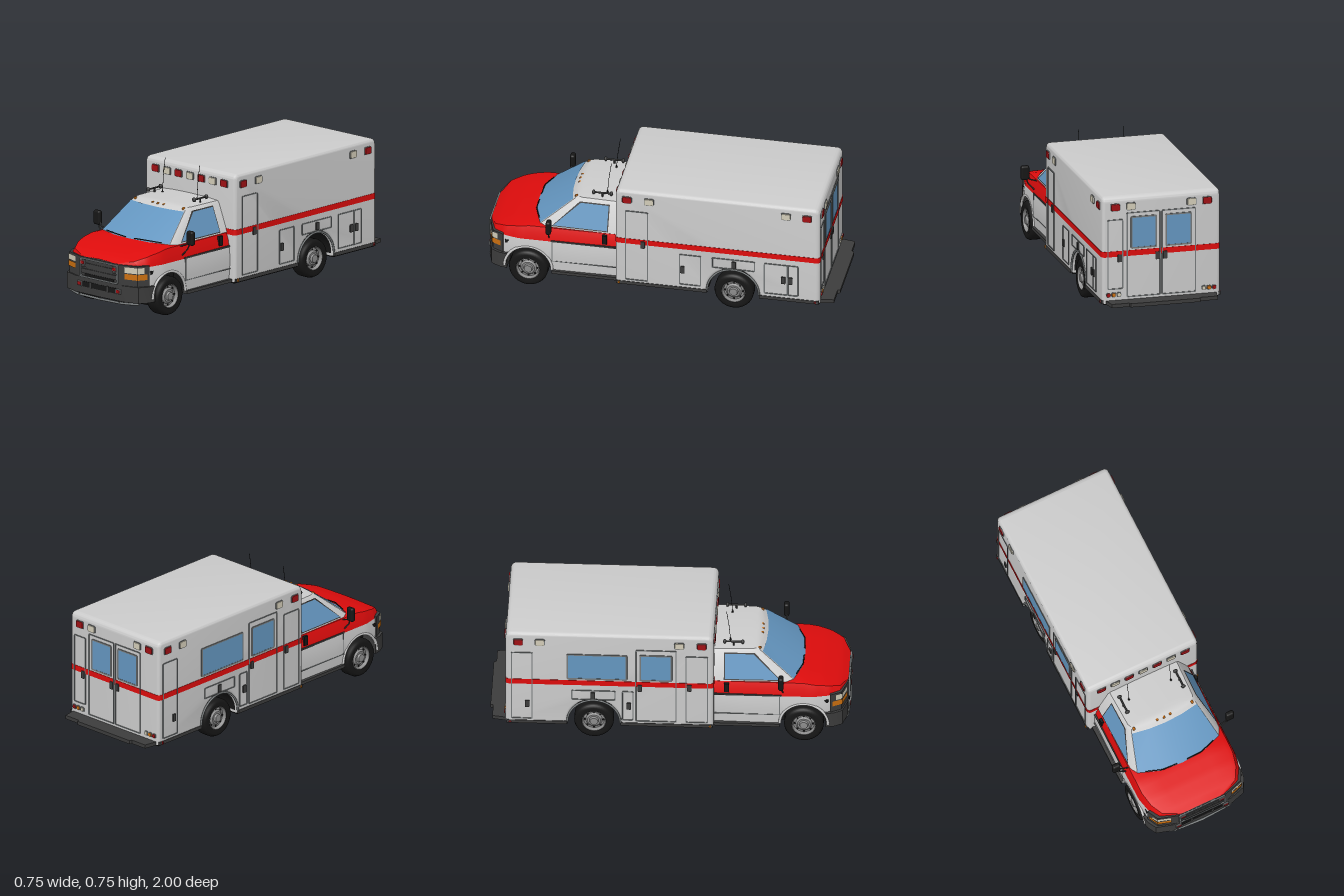
import * as THREE from 'three';
import { toCreasedNormals } from 'three/addons/utils/BufferGeometryUtils.js';
import { RoundedBoxGeometry } from 'three/addons/geometries/RoundedBoxGeometry.js';

const mat = (color) => new THREE.MeshStandardMaterial({ color, side: THREE.DoubleSide });
const WHITE = mat(0xcccccc), RED = mat(0xdd0c0c), DARK = mat(0x3c3c3c), BLACK = mat(0x161616), GLASS = mat(0x6496c0),
  SEAM = mat(0x75797a), LAMP = mat(0xa01014), CREAM = mat(0xd2ccb8), ORANGE = mat(0xcc7010), RIM = mat(0x8c8c8c);

export function createModel() {
  const model = new THREE.Group();
  const add = (name, geo, m, x = 0, y = 0, z = 0) => {
    const mesh = new THREE.Mesh(geo, m);
    mesh.name = name;
    mesh.position.set(x, y, z);
    model.add(mesh);
    return mesh;
  };
  const box = (name, m, w, h, d, x, y, z) => add(name, new THREE.BoxGeometry(w, h, d), m, x, y, z);
  const rod = (name, m, r, pts) => add(name, new THREE.TubeGeometry(
    new THREE.CatmullRomCurve3(pts.map((p) => new THREE.Vector3(...p)), false, 'catmullrom', 0.1), 16, r, 8), m);
  // Surface through rows of points
  const loft = (rows, crease = 0.5) => {
    const n = rows[0].length, idx = [], g = new THREE.BufferGeometry();
    g.setAttribute('position', new THREE.Float32BufferAttribute(rows.flat(2), 3));
    for (let i = 0; i < rows.length - 1; i++) for (let j = 0; j < n - 1; j++) {
      const a = i * n + j, b = a + n;
      idx.push(a, a + 1, b, a + 1, b + 1, b);
    }
    g.setIndex(idx);
    return toCreasedNormals(g, crease);
  };
  // Half a row, from the side to the centre line, completed on the other side
  const mirror = (half) => [...half, ...half.slice(0, -1).reverse().map(([x, ...r]) => [-x, ...r])];
  const lerp = (a, b, t) => a.map((v, i) => v + (b[i] - v) * t);
  const table = (t, v) => {
    let i = 0;
    while (i < t.length - 2 && v > t[i + 1][0]) i++;
    return THREE.MathUtils.mapLinear(v, t[i][0], t[i + 1][0], t[i][1], t[i + 1][1]);
  };
  const roundRect = (w, h, r, s = new THREE.Shape()) => {
    const x = w / 2, y = h / 2, q = Math.PI / 2;
    s.absarc(x - r, y - r, r, 0, q);
    s.absarc(r - x, y - r, r, q, 2 * q);
    s.absarc(r - x, r - y, r, 2 * q, 3 * q);
    s.absarc(x - r, r - y, r, 3 * q, 4 * q);
    return s.closePath();
  };
  const extrude = (s, depth, o = {}) => new THREE.ExtrudeGeometry(s, { depth, bevelEnabled: false, curveSegments: 6, ...o });
  // Solid standing on a plan outline of [x, z] points
  const planSolid = (half, y0, y1) => toCreasedNormals(extrude(new THREE.Shape(
    mirror(half).map(([x, z]) => new THREE.Vector2(x, -z))), y1 - y0).rotateX(-Math.PI / 2).translate(0, y0, 0), 0.5);
  // Fix a flat piece to one face of the rear body; u runs along x or z
  const fix = (name, geo, m, face, u, y) => {
    const mesh = add(name, geo, m);
    if (face === 'front') mesh.position.set(u, y, 0.245);
    if (face === 'back') mesh.position.set(u, y, -0.91);
    if (face === 'left') mesh.position.set(0.34, y, u);
    if (face === 'right') mesh.position.set(-0.34, y, u);
    mesh.rotation.y = { front: 0, back: Math.PI, left: Math.PI / 2, right: -Math.PI / 2 }[face];
  };
  const frame = (name, face, u0, u1, y0, y1, t = 0.006, m = SEAM) => {
    const w = u1 - u0, h = y1 - y0, s = roundRect(w, h, 0.008);
    s.holes.push(roundRect(w - 2 * t, h - 2 * t, 0.005, new THREE.Path()));
    fix(name, extrude(s, 0.004), m, face, (u0 + u1) / 2, (y0 + y1) / 2);
  };
  const pane = (face, u0, u1, y0, y1) => {
    fix('window', extrude(roundRect(u1 - u0, y1 - y0, 0.015), 0.003), GLASS, face, (u0 + u1) / 2, (y0 + y1) / 2);
    frame('windowFrame', face, u0 - 0.006, u1 + 0.006, y0 - 0.006, y1 + 0.006, 0.009);
  };
  const lamp = (face, u, m, y = 0.655, w = 0.056, h = 0.044) => {
    fix('lampBezel', extrude(roundRect(w, h, 0.009), 0.004), SEAM, face, u, y);
    fix('lamp', extrude(roundRect(w - 0.012, h - 0.012, 0.006), 0.006,
      { bevelEnabled: true, bevelSize: 0.003, bevelThickness: 0.003, bevelSegments: 2 }), m, face, u, y);
  };
  const handle = (face, u, y) => fix('handle', extrude(roundRect(0.024, 0.044, 0.004), 0.007), DARK, face, u, y);

  // Rear body with wheel notches
  const s = new THREE.Shape();
  s.moveTo(-0.225, 0.12);
  s.lineTo(0.255, 0.12);
  s.absarc(0.42, 0.12, 0.165, Math.PI, 0, true);
  s.lineTo(0.89, 0.12);
  s.lineTo(0.89, 0.68);
  s.quadraticCurveTo(0.89, 0.695, 0.875, 0.695);
  s.lineTo(-0.21, 0.695);
  s.quadraticCurveTo(-0.225, 0.695, -0.225, 0.68);
  add('rearBody', toCreasedNormals(extrude(s, 0.64, { bevelEnabled: true, bevelSize: 0.02, bevelThickness: 0.02,
    bevelSegments: 4, curveSegments: 14 }).translate(0, 0, -0.32).rotateY(Math.PI / 2), 0.6), WHITE);
  add('stripe', extrude(roundRect(0.684, 1.159, 0.021), 0.032).rotateX(-Math.PI / 2), RED, 0, 0.369, -0.3325);
  add('wheelWell', new THREE.CylinderGeometry(0.143, 0.143, 0.64, 28, 1, true, 0, Math.PI).rotateZ(Math.PI / 2), BLACK, 0, 0.115, -0.42);
  for (const [z0, z1] of [[0.24, -0.272], [-0.568, -0.905]]) {
    box('floor', BLACK, 0.66, 0.02, z0 - z1, 0, 0.103, (z0 + z1) / 2);
    for (const x of [-0.335, 0.335]) box('skirtRail', DARK, 0.016, 0.02, z0 - z1, x, 0.11, (z0 + z1) / 2);
  }
  add('rearStep', planSolid([[0.32, -0.9], [0.305, -0.985], [0.205, -0.985], [0.2, -1], [0, -1]].map(([x, z]) => [x, z]), 0.097, 0.118), DARK);

  // Warning lamps
  for (let i = -3; i <= 3; i++) lamp('front', i * 0.086, i % 2 ? LAMP : CREAM);
  for (const f of ['left', 'right']) [[0.18, LAMP], [0.055, CREAM], [-0.72, CREAM], [-0.84, LAMP]].forEach(([u, m]) => lamp(f, u, m));
  for (const d of [-1, 1]) {
    lamp('back', d * 0.265, LAMP);
    lamp('back', d * 0.175, CREAM);
    [[0.305, LAMP], [0.275, ORANGE], [0.245, CREAM]].forEach(([u, m]) => lamp('back', d * u, m, 0.15, 0.027, 0.027));
    lamp(d > 0 ? 'left' : 'right', 0.225, ORANGE, 0.111, 0.018, 0.014);
    lamp(d > 0 ? 'left' : 'right', -0.885, LAMP, 0.111, 0.018, 0.014);
  }

  // Lockers, doors and windows
  const lockers = {
    left: [[0.06, 0.19, 0.13, 0.585], [-0.24, -0.115, 0.135, 0.335], [-0.545, -0.3, 0.268, 0.335],
      [-0.73, -0.595, 0.135, 0.335], [-0.79, -0.727, 0.135, 0.335]],
    right: [[0.09, 0.215, 0.13, 0.585], [-0.19, 0.04, 0.13, 0.62], [-0.545, -0.3, 0.268, 0.335],
      [-0.265, -0.2, 0.135, 0.335], [-0.88, -0.76, 0.13, 0.585]],
    back: [[0.003, 0.2, 0.13, 0.62], [-0.2, -0.003, 0.13, 0.62], [0.22, 0.31, 0.18, 0.585]],
  };
  for (const f in lockers) lockers[f].forEach((r) => frame('panelSeam', f, ...r));
  [[0.09, 0.37], [-0.135, 0.235], [-0.425, 0.3], [-0.705, 0.235], [-0.745, 0.235]].forEach((p) => handle('left', ...p));
  [[0.11, 0.37], [-0.165, 0.36], [-0.425, 0.3], [-0.225, 0.235], [-0.79, 0.235]].forEach((p) => handle('right', ...p));
  [[0.022, 0.36], [-0.022, 0.36], [0.24, 0.36]].forEach((p) => handle('back', ...p));
  pane('right', -0.565, -0.24, 0.415, 0.575);
  pane('right', -0.16, 0.01, 0.415, 0.58);
  for (const d of [-1, 1]) pane('back', d * 0.1 - 0.07, d * 0.1 + 0.07, 0.415, 0.59);

  // Cab body: sections along z, with arches cut over the front wheels
  const AX = 0.745, R = 0.134;
  const width = (z) => table([[0.24, 0.3], [0.5, 0.305], [0.8, 0.305], [0.88, 0.287], [0.945, 0.25], [0.985, 0.15]], z);
  const hood = (z) => table([[0.24, 0.385], [0.74, 0.386], [0.85, 0.365], [0.94, 0.338], [0.985, 0.312]], z);
  const bottom = (z) => (z > AX + R ? 0.17 : 0.115 + Math.sqrt(Math.max(0, R * R - (z - AX) ** 2)));
  const stations = [0.24, 0.4, 0.55];
  for (let k = 0; k <= 14; k++) stations.push(AX - R * Math.cos((k * Math.PI) / 14));
  stations.push(0.9, 0.925, 0.945, 0.965, 0.985);
  for (const d of [-1, 1]) add('cabSide', loft(stations.map((z) => {
    const w = width(z), b = bottom(z);
    return [[d * (w - 0.006), b, z], [d * w, Math.max(b + 0.004, 0.2), z], [d * w, 0.256, z], [d * (w - 0.006), 0.302, z]];
  })), WHITE);
  add('hood', loft(stations.map((z) => {
    const w = width(z), h = hood(z);
    return mirror([[w - 0.005, 0.3, z], [w - 0.013, 0.3 + (h - 0.3) * 0.5, z], [w - 0.025, 0.3 + (h - 0.3) * 0.9, z],
      [w - 0.05, h - 0.002, z], [w * 0.5, h, z], [0, h + 0.002, z]]);
  }), 0.6), RED);

  // Cab glasshouse and roof
  const base = [[0.28, 0.38, 0.24], [0.275, 0.38, 0.64], [0.253, 0.38, 0.69], [0.13, 0.38, 0.735], [0, 0.38, 0.745]];
  const top = [[0.218, 0.538, 0.24], [0.21, 0.538, 0.47], [0.198, 0.538, 0.5], [0.1, 0.538, 0.515], [0, 0.538, 0.52]];
  const roofRow = (k, y, f) => top.map(([x, , z]) => [x * k, y, z - f * (z - 0.24)]);
  add('cabShell', loft([base, top, roofRow(0.95, 0.549, 0.05), roofRow(0.6, 0.555, 0.12), roofRow(0, 0.557, 0.15)].map(mirror)), WHITE);
  const shield = (t) => mirror(base.slice(2).map((p, i) => lerp(p, top[i + 2], t))).map(([x, y, z]) => [x, y + 0.003, z + 0.003]);
  add('windscreen', loft([shield(0.03), shield(0.95)]), GLASS);
  const sidePoint = (d, y, z, o) => {
    const t = (y - 0.38) / 0.158;
    return [d * (0.28 - 0.0625 * t - 0.011 * (z - 0.24) + o), y, z];
  };
  for (const d of [-1, 1]) {
    const glass = (o, g) => loft([[sidePoint(d, 0.393 - g, 0.305 - g, o), sidePoint(d, 0.393 - g, 0.61 + 1.6 * g, o)],
      [sidePoint(d, 0.527 + g, 0.305 - g, o), sidePoint(d, 0.527 + g, 0.463 + g, o)]]);
    add('sideWindowSeal', glass(0.003, 0.006), DARK);
    add('sideWindow', glass(0.005, 0), GLASS);
    // Door seams, moulding, handle, running board
    box('beltMoulding', DARK, 0.012, 0.009, 0.38, d * 0.297, 0.303, 0.43);
    box('doorSeam', SEAM, 0.006, 0.004, 0.37, d * 0.302, 0.175, 0.43);
    box('doorSeam', SEAM, 0.006, 0.13, 0.004, d * 0.303, 0.24, 0.61);
    box('doorHandle', BLACK, 0.016, 0.055, 0.026, d * 0.292, 0.345, 0.315);
    box('runningBoard', DARK, 0.05, 0.018, 0.37, d * 0.29, 0.108, 0.425);
    add('archTrim', new THREE.TorusGeometry(R, 0.008, 8, 24, Math.PI).rotateY(Math.PI / 2), WHITE, d * 0.301, 0.117, AX);
    add('rearArchTrim', new THREE.TorusGeometry(0.147, 0.006, 8, 28, Math.PI).rotateY(Math.PI / 2), SEAM, d * 0.337, 0.117, -0.42);
    // Mirrors
    add('mirror', new RoundedBoxGeometry(0.048, 0.082, 0.03, 3, 0.012), BLACK, d * 0.351, 0.427, 0.62);
    rod('mirrorArm', DARK, 0.004, [[d * 0.28, 0.308, 0.63], [d * 0.33, 0.36, 0.625], [d * 0.346, 0.4, 0.62]]);
    rod('mirrorArm', DARK, 0.004, [[d * 0.275, 0.37, 0.63], [d * 0.32, 0.385, 0.625], [d * 0.335, 0.41, 0.62]]);
    // Antennas and roof horns
    add('antennaBase', new THREE.ConeGeometry(0.007, 0.022, 10), BLACK, d * 0.13, 0.563, 0.33);
    rod('antenna', BLACK, 0.0015, [[d * 0.13, 0.56, 0.33], [d * 0.13, 0.65, 0.322], [d * 0.13, 0.747, 0.308]]);
    rod('hornBar', DARK, 0.005, [[d * 0.173, 0.575, 0.3], [d * 0.173, 0.575, 0.4]]);
    rod('hornPost', DARK, 0.005, [[d * 0.173, 0.54, 0.35], [d * 0.173, 0.575, 0.35]]);
    for (const z of [0.3, 0.4]) add('horn', new THREE.SphereGeometry(0.013, 14, 10).scale(1, 1, 0.7), DARK, d * 0.173, 0.575, z);
    // Headlights and indicators
    const ribbon = (pts, y0, y1) => loft([y0, y1].map((y) => pts.map(([x, z]) => [d * x, y, z])));
    add('headlight', ribbon([[0.279, 0.922], [0.26, 0.957], [0.185, 0.981]], 0.267, 0.3), CREAM);
    add('indicator', ribbon([[0.287, 0.905], [0.26, 0.957], [0.185, 0.981]], 0.23, 0.262), ORANGE);
    for (const [x, y, z] of [[0.12, 0.28, 0.994], [0.145, 0.155, 0.99]]) {
      add('flasherBezel', new RoundedBoxGeometry(0.036, 0.028, 0.01, 2, 0.004), SEAM, d * x, y, z);
      add('flasher', new RoundedBoxGeometry(0.028, 0.02, 0.012, 2, 0.004), LAMP, d * x, y, z + 0.001);
    }
    rod('wiper', BLACK, 0.003, [[d * 0.12 - 0.09, 0.393, 0.735 - (d > 0 ? 0 : 0.035)], [d * 0.12, 0.397, 0.733], [d * 0.12 + 0.09, 0.391, 0.735 - (d > 0 ? 0.035 : 0)]]);
    rod('barSupport', DARK, 0.006, [[d * 0.15, 0.115, 0.93], [d * 0.15, 0.09, 0.99]]);
  }
  for (const x of [-0.18, -0.04, 0, 0.04, 0.18]) add('roofMarker', new RoundedBoxGeometry(0.014, 0.014, 0.018, 2, 0.005), ORANGE, x, 0.544, 0.505 - Math.abs(x) * 0.06);

  // Nose, grille and bumper
  add('noseSurround', planSolid([[0.29, 0.89], [0.257, 0.953], [0.15, 0.987], [0, 0.99]], 0.185, 0.309), DARK);
  const grille = roundRect(0.285, 0.112, 0.012);
  grille.holes.push(roundRect(0.268, 0.095, 0.008, new THREE.Path()));
  add('grilleFrame', extrude(grille, 0.012), SEAM, 0, 0.25, 0.984);
  for (const y of [0.232, 0.266]) box('grilleBar', DARK, 0.265, 0.024, 0.008, 0, y, 0.99);
  box('grilleIntake', BLACK, 0.22, 0.02, 0.004, 0, 0.208, 0.99);
  add('bumper', planSolid([[0.306, 0.865], [0.297, 0.91], [0.27, 0.958], [0.18, 0.985], [0, 0.99]], 0.1, 0.192), DARK);
  box('bumperInset', BLACK, 0.25, 0.03, 0.006, 0, 0.155, 0.988);
  for (const x of [-0.065, 0.065]) box('bumperRib', DARK, 0.01, 0.034, 0.008, x, 0.155, 0.989);
  rod('frontBar', SEAM, 0.007, [[-0.258, 0.09, 0.94], [-0.17, 0.09, 0.982], [0, 0.09, 0.993], [0.17, 0.09, 0.982], [0.258, 0.09, 0.94]]);

  // Underside
  box('cabFloor', BLACK, 0.57, 0.19, 0.37, 0, 0.198, 0.425);
  box('engineBay', BLACK, 0.42, 0.21, 0.32, 0, 0.18, 0.76);
  box('frontWheelWellRoof', BLACK, 0.58, 0.02, 0.27, 0, 0.265, 0.745);
  box('frontCrossmember', BLACK, 0.44, 0.05, 0.1, 0, 0.085, 0.78);

  // Wheels
  const v2 = (pts) => pts.map((p) => new THREE.Vector2(...p));
  const tyre = v2([[0.066, -0.043], [0.09, -0.045], [0.104, -0.039], [0.11, -0.026], [0.11, 0.026], [0.104, 0.039], [0.09, 0.045], [0.066, 0.041]]);
  const rim = v2([[0.069, 0.04], [0.064, 0.043], [0.058, 0.022], [0.046, 0.024], [0.036, 0.034], [0.026, 0.034], [0.022, 0.046], [0, 0.048]]);
  for (const [z, x] of [[AX, 0.268], [-0.42, 0.283]]) {
    rod('axle', DARK, 0.022, [[-x, 0.112, z], [x, 0.112, z]]);
    for (const d of [-1, 1]) {
      const turn = (g) => g.rotateZ((-d * Math.PI) / 2);
      add('tyre', turn(new THREE.LatheGeometry(tyre, 40)), BLACK, d * x, 0.112, z);
      add('rim', turn(toCreasedNormals(new THREE.LatheGeometry(rim, 32), 0.5)), RIM, d * x, 0.112, z);
      add('wheelBack', turn(new THREE.CylinderGeometry(0.068, 0.068, 0.03, 24)), DARK, d * (x - 0.02), 0.112, z);
      for (let k = 0; k < 8; k++) {
        const a = (k * Math.PI) / 4;
        add('rimHole', turn(new THREE.CylinderGeometry(0.006, 0.006, 0.004, 10)), BLACK,
          d * (x + 0.024), 0.112 + 0.051 * Math.sin(a), z + 0.051 * Math.cos(a));
      }
    }
  }
  return model;
}
